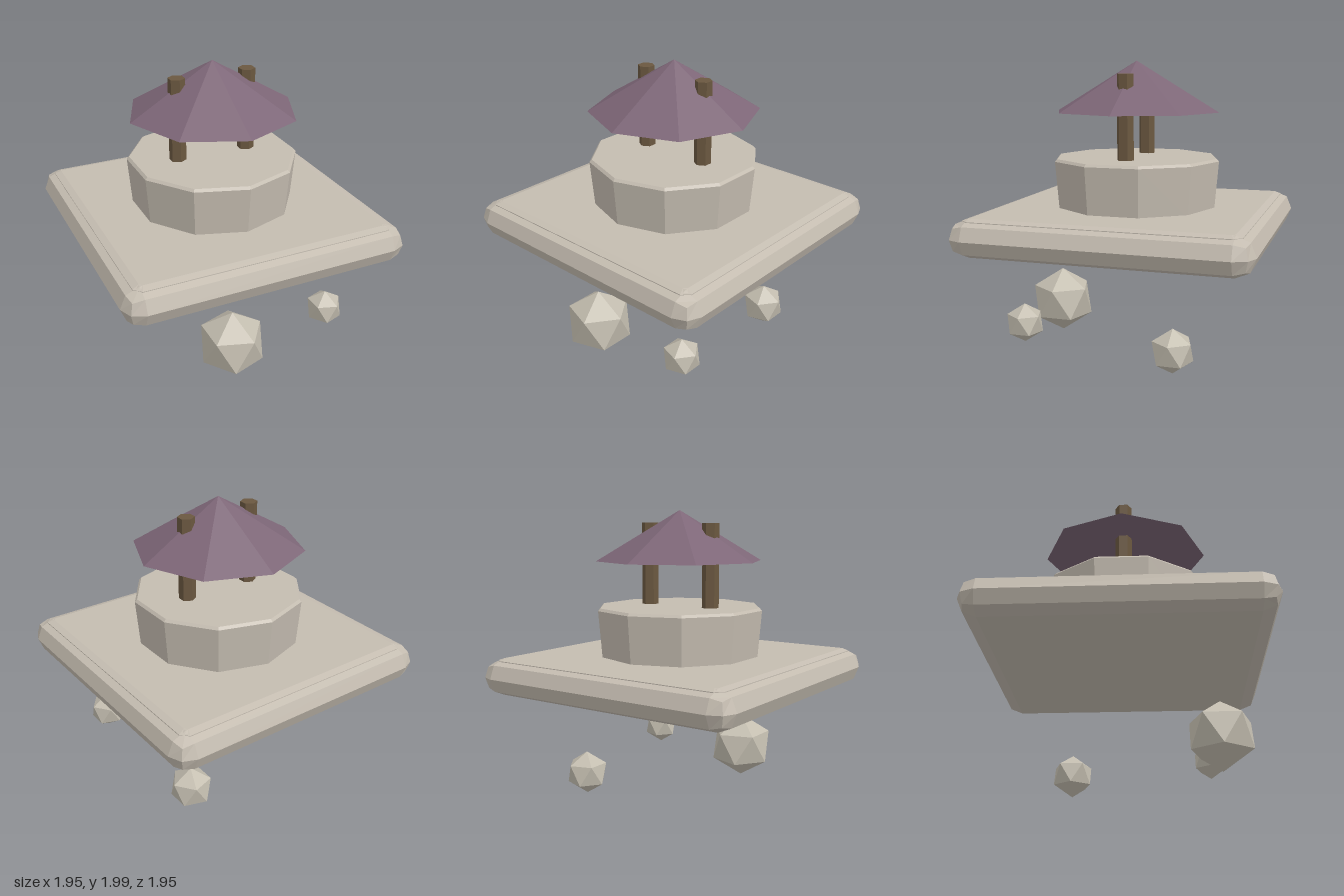
import * as THREE from 'three';
import { RoundedBoxGeometry } from 'three/addons/geometries/RoundedBoxGeometry.js';

const mat = (name, color) => {
  const m = new THREE.MeshStandardMaterial({ color, flatShading: true });
  m.name = name;
  return m;
};

export function createModel() {
  const group = new THREE.Group();
  const stone = mat('stone', 0xc4bcb0);
  const rockStone = mat('rock stone', 0xc4beb0);
  const wood = mat('wood', 0x6b5840);
  const roofPurple = mat('roof purple', 0x7d6677);

  const add = (name, geometry, material, x = 0, y = 0, z = 0) => {
    const mesh = new THREE.Mesh(geometry, material);
    mesh.name = name;
    mesh.position.set(x, y, z);
    group.add(mesh);
    return mesh;
  };

  // Floating slab with a two-step rounded edge
  add('slab', new RoundedBoxGeometry(1.945, 0.25, 1.945, 1, 0.125), stone, 0, 0.895, 0);

  // Thin paving lip laid on the slab's upper bevel
  const h = 0.845, c = 0.825;
  const outline = new THREE.Shape([
    [h, -c], [h, c], [c, h], [-c, h], [-h, c], [-h, -c], [-c, -h], [c, -h],
  ].map(([x, y]) => new THREE.Vector2(x, y)));
  const lip = new THREE.ExtrudeGeometry(outline, {
    depth: 0.03, bevelEnabled: true, bevelThickness: 0.014, bevelSize: 0.045, bevelSegments: 1,
  });
  lip.rotateX(-Math.PI / 2);
  add('pavingLip', lip, stone, 0, 0.9775, 0);

  // Ten-sided well drum with a chamfered rim
  const drum = [[0.548, 1.0], [0.576, 1.335], [0.56, 1.352], [0, 1.352]]
    .map(([r, y]) => new THREE.Vector2(r, y));
  add('wellDrum', new THREE.LatheGeometry(drum, 10), stone);

  // Posts running up through the roof
  for (const [name, side] of [['leftPost', 1], ['rightPost', -1]]) {
    add(name, new THREE.CylinderGeometry(0.057, 0.057, 0.59, 6), wood, side * 0.25, 1.62, 0);
  }

  // Eight-sided roof
  add('roof', new THREE.ConeGeometry(0.572, 0.34, 8), roofPurple, 0, 1.83, 0);

  // Loose rocks under the slab, each standing on a point
  const rocks = [
    [0.235, -0.14, 0.242, 0.62],
    [0.15, 0.52, 0.17, -0.4],
    [0.13, 0.595, 0.29, 0.59],
  ];
  rocks.forEach(([r, x, y, z], i) => {
    const geo = new THREE.IcosahedronGeometry(r, 0);
    geo.rotateX(-Math.atan((1 + Math.sqrt(5)) / 2));
    geo.rotateY(Math.PI / 2);
    add(`rock${i + 1}`, geo, rockStone, x, y, z);
  });

  return group;
}
